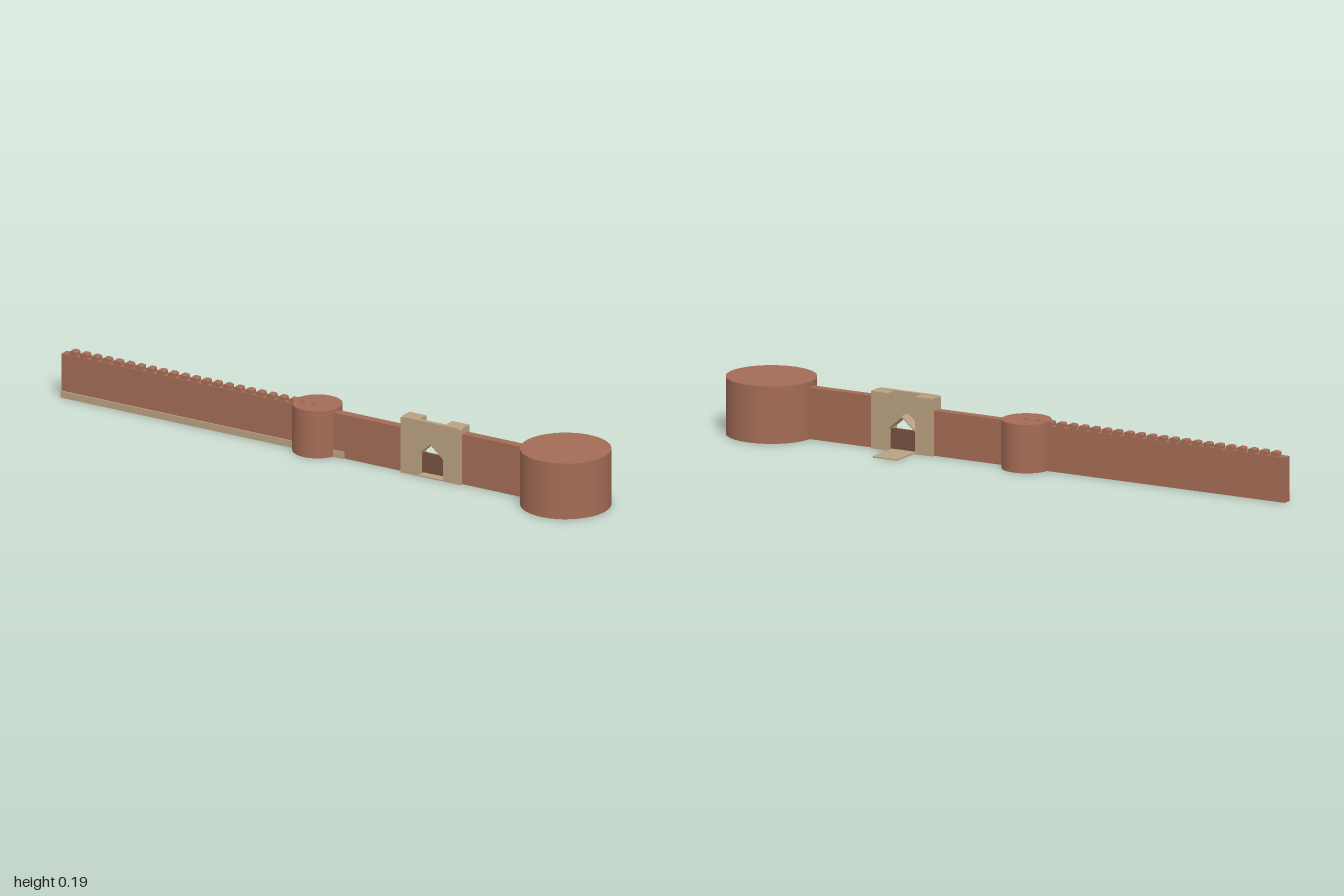
import * as THREE from 'three';

export function createModel() {
  const model = new THREE.Group();
  const material = (name, color) => {
    const m = new THREE.MeshStandardMaterial({ color });
    m.name = name;
    return m;
  };
  const brick = material('brick', 0xa46c56);
  const stone = material('pale stone', 0xb9a182);
  const wood = material('dark wood', 0x75503f);

  const add = (name, geometry, mat, parent = model) => {
    const mesh = new THREE.Mesh(geometry, mat);
    mesh.name = name;
    parent.add(mesh);
    return mesh;
  };
  // Box given by its limits on each axis
  const block = (name, mat, [x0, x1], [y0, y1], [z0, z1], parent) => {
    const mesh = add(name, new THREE.BoxGeometry(x1 - x0, y1 - y0, z1 - z0), mat, parent);
    mesh.position.set((x0 + x1) / 2, (y0 + y1) / 2, (z0 + z1) / 2);
    return mesh;
  };
  const tower = (name, x, radius, height) => {
    const geo = new THREE.CylinderGeometry(radius, radius, height, 64);
    add(name, geo, brick).position.set(x, height / 2, 0);
  };
  const extrude = (shape, depth) =>
    new THREE.ExtrudeGeometry(shape, { depth, bevelEnabled: false, curveSegments: 6 });

  // Curtain walls and plinth
  const wallZ = [-0.008, 0.022];
  block('longWall', brick, [-1, -0.065], [0, 0.145], wallZ);
  block('middleWall', brick, [-0.065, 0.3], [0, 0.145], wallZ);
  block('rightWall', brick, [0.46, 0.8], [0, 0.166], wallZ);
  block('plinth', stone, [-1, 0.05], [0, 0.022], [0.02, 0.027]);

  // Round towers
  tower('smallTower', -0.064, 0.079, 0.156);
  tower('largeTower', 0.857, 0.143, 0.185);

  // Round-topped merlons along the long wall
  const merlons = new THREE.Group();
  merlons.name = 'merlons';
  model.add(merlons);
  const w = 0.0125;
  const cap = new THREE.Shape();
  cap.moveTo(-w, 0);
  cap.lineTo(w, 0);
  cap.lineTo(w, 0.008);
  cap.quadraticCurveTo(w, 0.015, w - 0.007, 0.015);
  cap.lineTo(-w + 0.007, 0.015);
  cap.quadraticCurveTo(-w, 0.015, -w, 0.008);
  const merlonGeo = extrude(cap, 0.026);
  for (let i = 0; i < 23; i++) {
    add('merlon', merlonGeo, brick, merlons).position.set(-0.96 + i * 0.0407, 0.144, -0.006);
  }

  // Gatehouse front with a pointed opening
  const gate = new THREE.Group();
  gate.name = 'gatehouse';
  model.add(gate);
  const gx = 0.376, half = 0.111, door = 0.048, r = 0.008;
  const front = new THREE.Shape();
  front.moveTo(-half, 0);
  front.lineTo(-door, 0);
  front.lineTo(-door, 0.072);
  front.lineTo(0, 0.112);
  front.lineTo(door, 0.072);
  front.lineTo(door, 0);
  front.lineTo(half, 0);
  front.lineTo(half, 0.186 - r);
  front.quadraticCurveTo(half, 0.186, half - r, 0.186);
  front.lineTo(-half + r, 0.186);
  front.quadraticCurveTo(-half, 0.186, -half, 0.186 - r);
  add('gateFront', extrude(front, 0.014), stone, gate).position.set(gx, 0, 0.02);

  // Flanking piers and the two slopes of the passage roof
  for (const s of [-1, 1]) {
    const a = gx + s * door, b = gx + s * half;
    block('gatePier', stone, [Math.min(a, b), Math.max(a, b)], [0, 0.185], [-0.02, 0.021], gate);
    const slope = new THREE.Shape();
    slope.moveTo(0, 0.112);
    slope.lineTo(s * door, 0.072);
    slope.lineTo(s * door, 0.077);
    slope.lineTo(0, 0.117);
    add('passageRoof', extrude(slope, 0.042), stone, gate).position.set(gx, 0, -0.02);
  }

  // Door panel with thin boards, and the bridge plate behind
  block('door', wood, [gx - door, gx + door], [0, 0.07], [-0.004, 0.004], gate);
  for (let i = 0; i < 6; i++) {
    const y = 0.005 + i * 0.011;
    block('doorBoard', wood, [gx - door, gx + door], [y, y + 0.008], [-0.006, 0.006], gate);
  }
  block('bridgePlate', stone, [gx - 0.044, gx + 0.044], [0, 0.004], [-0.125, 0.034], gate);

  return model;
}
